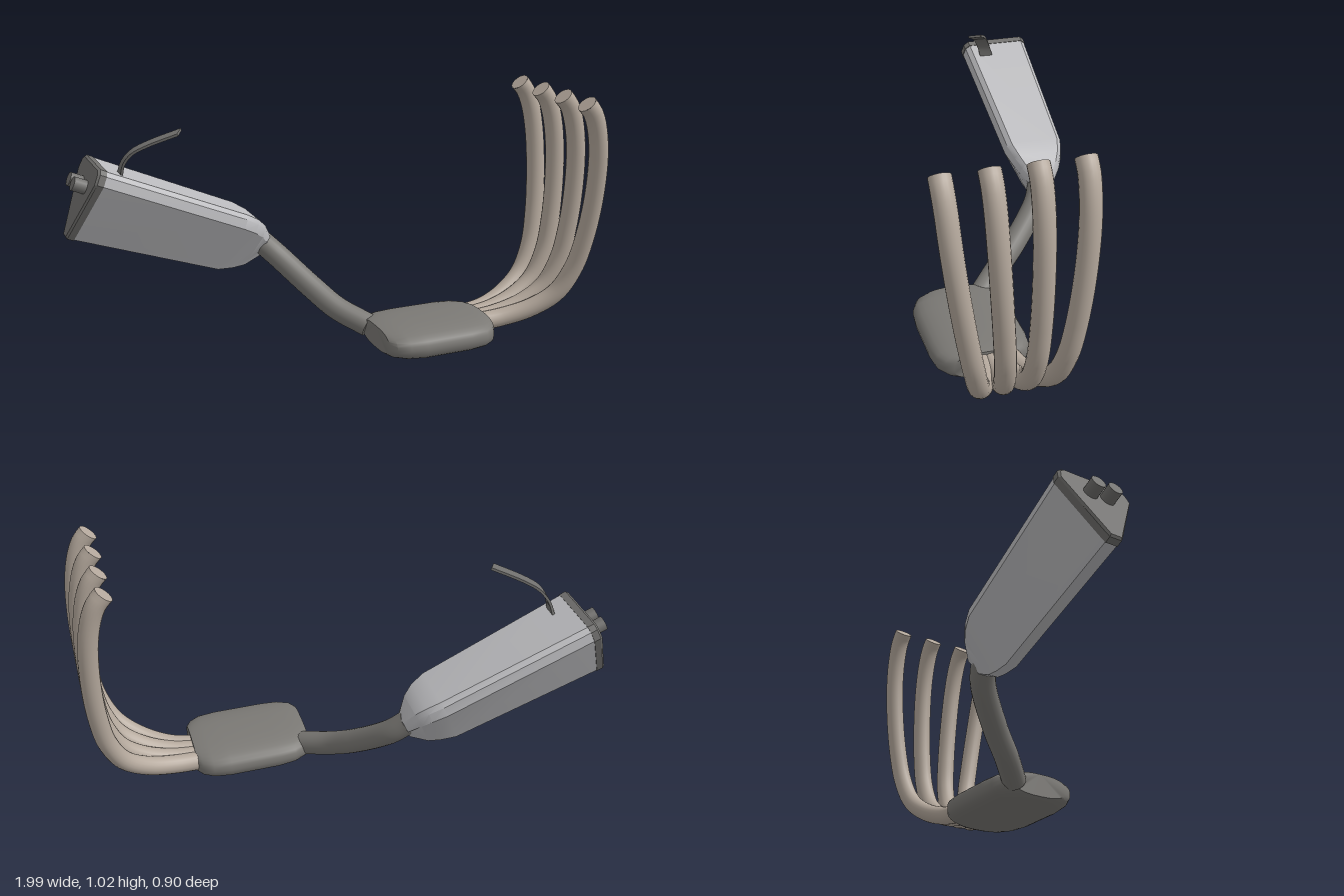
import * as THREE from 'three';
import { toCreasedNormals } from 'three/addons/utils/BufferGeometryUtils.js';

const material = (name, color) => {
  const m = new THREE.MeshStandardMaterial({ color });
  m.name = name;
  return m;
};

// Skin a list of closed rings (each a list of Vector3) and close both ends
function loft(rings, crease) {
  const n = rings[0].length, index = [];
  const pos = rings.flat().flatMap((p) => [p.x, p.y, p.z]);
  for (let i = 0; i < rings.length - 1; i++) {
    for (let j = 0; j < n; j++) {
      const a = i * n + j, b = i * n + ((j + 1) % n);
      index.push(a, b, a + n, b, b + n, a + n);
    }
  }
  const last = (rings.length - 1) * n;
  for (let j = 1; j < n - 1; j++) {
    index.push(0, j + 1, j);
    index.push(last, last + j, last + j + 1);
  }
  const g = new THREE.BufferGeometry();
  g.setAttribute('position', new THREE.Float32BufferAttribute(pos, 3));
  g.setIndex(index);
  return toCreasedNormals(g, crease);
}

// Round pipe along points, with a disc on each end
function pipe(name, points, radius, mat) {
  const group = new THREE.Group();
  group.name = name;
  const curve = new THREE.CatmullRomCurve3(points.map((p) => new THREE.Vector3(...p)));
  group.add(new THREE.Mesh(new THREE.TubeGeometry(curve, 48, radius, 20), mat));
  for (const t of [0, 1]) {
    const disc = new THREE.Mesh(new THREE.CircleGeometry(radius, 20), mat);
    const dir = curve.getTangent(t).multiplyScalar(t ? 1 : -1);
    disc.quaternion.setFromUnitVectors(new THREE.Vector3(0, 0, 1), dir);
    disc.position.copy(curve.getPoint(t));
    group.add(disc);
  }
  group.children.forEach((c, i) => { c.name = name + (i ? 'End' : 'Tube'); });
  return group;
}

// Muffler cross-section: wide chamfered top, narrow bottom
function mufflerRing([s, top, shoulder, bottom, wTop, wMax, wBottom]) {
  const half = [
    [top, wTop],
    [top - (top - shoulder) * 0.3, wTop + (wMax - wTop) * 0.7],
    [shoulder, wMax],
    [bottom + 0.03, wBottom],
    [bottom, wBottom * 0.6],
  ];
  const mirrored = half.map(([y, z]) => [y, -z]).reverse();
  return [...half, ...mirrored].map(([y, z]) => new THREE.Vector3(s, y, z));
}

// Collector cross-section: superellipse
function ovalRing([x, yc, hy, hz]) {
  const ring = [];
  for (let i = 0; i < 32; i++) {
    const a = (i / 32) * Math.PI * 2, c = Math.cos(a), s = Math.sin(a);
    const f = (v) => Math.sign(v) * Math.abs(v) ** 0.75;
    ring.push(new THREE.Vector3(x, yc + hy * f(c), 0.17 + hz * f(s)));
  }
  return ring;
}

export function createModel() {
  const model = new THREE.Group();
  model.name = 'exhaustSystem';
  const headerMat = material('warm header metal', 0xb5a99d);
  const steelMat = material('dark steel', 0x7b7975);
  const mufflerMat = material('brushed silver', 0xbcbcbf);
  const capMat = material('end cap grey', 0x71706e);
  const add = (parent, name, geometry, mat) => {
    const mesh = new THREE.Mesh(geometry, mat);
    mesh.name = name;
    parent.add(mesh);
    return mesh;
  };

  // Header pipes: shared side profile (x, y) and fan-out amount
  const profile = [
    [0.872, 0.997, 1], [0.902, 0.962, 1], [0.928, 0.9, 0.985], [0.95, 0.79, 0.95],
    [0.959, 0.62, 0.86], [0.95, 0.44, 0.73], [0.925, 0.3, 0.6], [0.87, 0.19, 0.46],
    [0.78, 0.122, 0.28], [0.67, 0.083, 0.1], [0.55, 0.068, 0],
  ];
  const fan = [[0.412, 0.185], [0.253, 0.152], [0.094, 0.113], [-0.065, 0.08]];
  fan.forEach(([zTop, zEnd], i) => {
    const path = profile.map(([x, y, f]) => [x, y, zEnd + (zTop - zEnd) * f]);
    model.add(pipe('headerPipe' + (i + 1), path, 0.038, headerMat));
  });

  // Collector box
  add(model, 'collector', loft([
    [0.11, 0.077, 0.046, 0.125], [0.13, 0.074, 0.053, 0.16], [0.18, 0.071, 0.06, 0.183],
    [0.25, 0.068, 0.065, 0.189], [0.45, 0.066, 0.065, 0.189], [0.52, 0.066, 0.061, 0.181],
    [0.56, 0.066, 0.057, 0.157], [0.58, 0.066, 0.052, 0.125],
  ].map(ovalRing), 0.7), steelMat);

  // Link pipe
  model.add(pipe('linkPipe', [
    [-0.2, 0.376, -0.293], [-0.14, 0.315, -0.258], [-0.035, 0.2, -0.135],
    [0.035, 0.132, -0.04], [0.13, 0.079, 0.06],
  ], 0.048, steelMat));

  // Muffler, built along its own x axis and tilted
  const muffler = new THREE.Group();
  muffler.name = 'muffler';
  muffler.position.set(-0.933, 0.638, -0.3);
  muffler.rotation.z = -0.412;
  model.add(muffler);
  add(muffler, 'mufflerBody', loft([
    [0.028, 0.155, 0.1, -0.153, 0.12, 0.146, 0.039],
    [0.64, 0.155, 0.1, -0.11, 0.1, 0.125, 0.036],
    [0.7, 0.147, 0.094, -0.086, 0.085, 0.108, 0.035],
    [0.745, 0.13, 0.082, -0.06, 0.065, 0.087, 0.033],
    [0.8, 0.09, 0.055, 0, 0.025, 0.047, 0.025],
  ].map(mufflerRing), 0.6), mufflerMat);
  add(muffler, 'mufflerEndCap', loft([
    [-0.004, 0.149, 0.096, -0.15, 0.115, 0.142, 0.036],
    [0.004, 0.157, 0.1, -0.157, 0.122, 0.149, 0.04],
    [0.03, 0.157, 0.1, -0.156, 0.122, 0.149, 0.04],
  ].map(mufflerRing), 0.5), capMat);
  for (const side of [-1, 1]) {
    const tip = add(muffler, side < 0 ? 'rightOutlet' : 'leftOutlet',
      new THREE.CylinderGeometry(0.028, 0.028, 0.06, 20), capMat);
    tip.rotation.z = Math.PI / 2;
    tip.position.set(-0.025, 0.06, side * 0.035);
  }

  // Mounting strap: thin curved strip rising from the muffler
  const strap = new THREE.CatmullRomCurve3([
    [-0.783, 0.735, -0.238], [-0.772, 0.785, -0.222], [-0.742, 0.828, -0.2],
    [-0.685, 0.862, -0.172], [-0.574, 0.908, -0.124],
  ].map((p) => new THREE.Vector3(...p)));
  const strapRings = [];
  for (let i = 0; i <= 16; i++) {
    const t = i / 16, p = strap.getPoint(t);
    const w = new THREE.Vector3(-0.014 * t, -0.005 * t, 0.028 - 0.005 * t);
    const n = w.clone().cross(strap.getTangent(t)).setLength(0.005);
    strapRings.push([[1, -1], [1, 1], [-1, 1], [-1, -1]].map(([a, b]) =>
      p.clone().addScaledVector(n, a).addScaledVector(w, b)));
  }
  add(model, 'mountingStrap', loft(strapRings, 0.6), capMat);

  return model;
}
